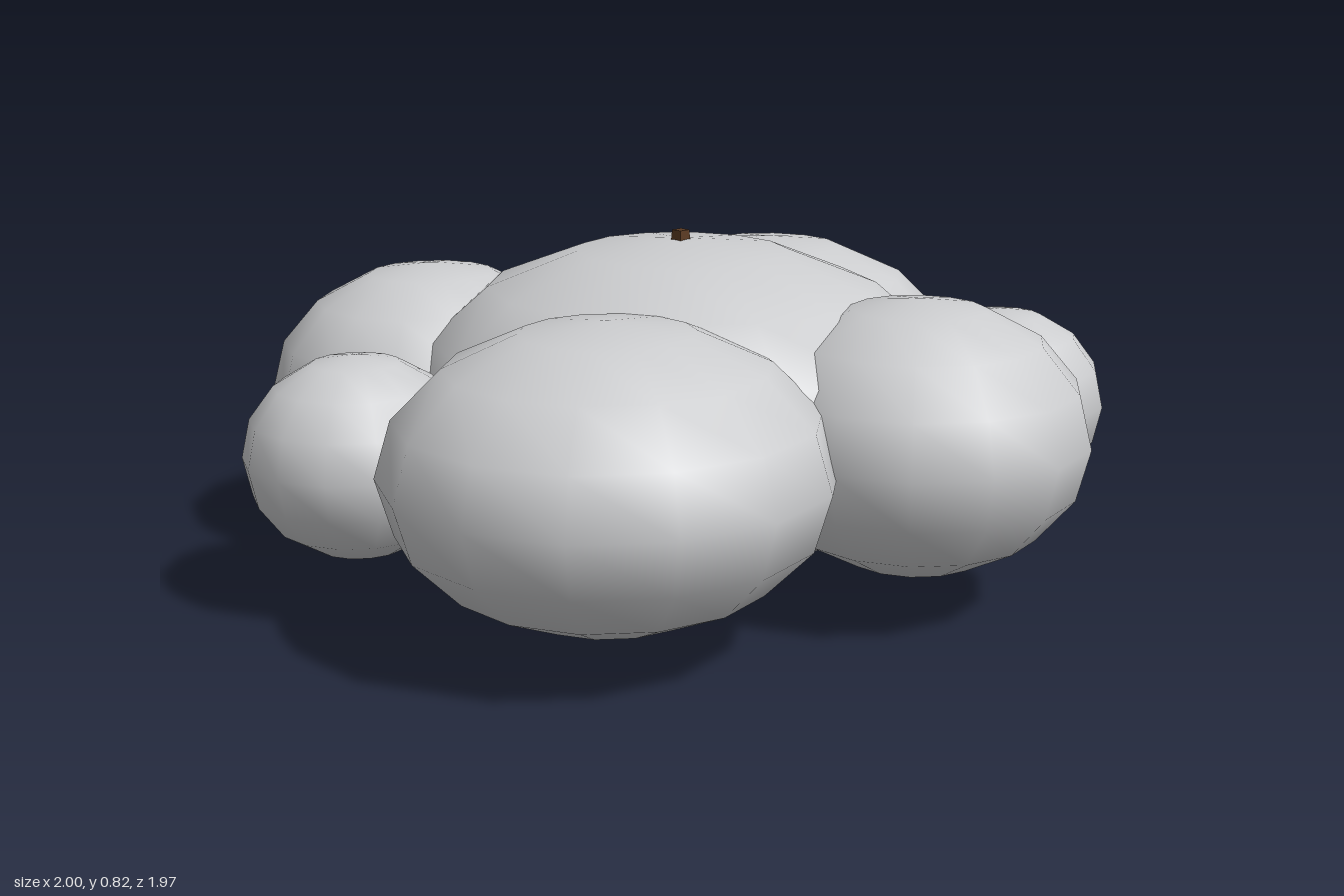
import * as THREE from 'three';

export function createModel() {
  const model = new THREE.Group();
  model.name = 'bush';
  const foliage = new THREE.MeshStandardMaterial({ color: 0xcccdcf });
  foliage.name = 'pale grey foliage';
  const bark = new THREE.MeshStandardMaterial({ color: 0x5a3a22 });
  bark.name = 'brown bark';

  // Flattened foliage clumps share one smooth 14 x 8 sphere
  const ball = new THREE.SphereGeometry(1, 14, 8).rotateY(Math.PI / 2);
  const clump = (name, [x, y, z], [rx, ry, rz]) => {
    const mesh = new THREE.Mesh(ball, foliage);
    mesh.name = name;
    mesh.position.set(x, y, z);
    mesh.scale.set(rx, ry, rz);
    model.add(mesh);
  };
  clump('centralClump', [0, 0.418, 0], [0.635, 0.382, 0.675]);
  clump('frontRightClump', [-0.513, 0.395, 0.306], [0.497, 0.331, 0.494]);
  clump('backLeftClump', [0.517, 0.384, -0.222], [0.496, 0.331, 0.494]);
  clump('backClump', [-0.289, 0.39, -0.592], [0.4, 0.31, 0.397]);
  clump('frontClump', [0.163, 0.407, 0.585], [0.395, 0.312, 0.395]);
  clump('smallLeftClump', [0.695, 0.36, 0.405], [0.268, 0.232, 0.258]);
  clump('smallRightClump', [-0.743, 0.36, -0.28], [0.26, 0.232, 0.26]);

  // Tapered square trunk through the middle, its foot cut at a slant
  const trunkGeometry = new THREE.CylinderGeometry(0.02, 0.105, 0.79, 4)
    .rotateY(Math.PI / 4)
    .translate(0, 0.425, 0)
    .toNonIndexed();
  const p = trunkGeometry.attributes.position;
  for (let i = 0; i < p.count; i++) {
    if (p.getY(i) < 0.1) p.setY(i, 0.033 + 0.13 * p.getX(i) - 0.27 * p.getZ(i));
    else p.setX(i, p.getX(i) - 0.007);
  }
  trunkGeometry.computeVertexNormals();
  const trunk = new THREE.Mesh(trunkGeometry, bark);
  trunk.name = 'trunk';
  model.add(trunk);

  return model;
}
